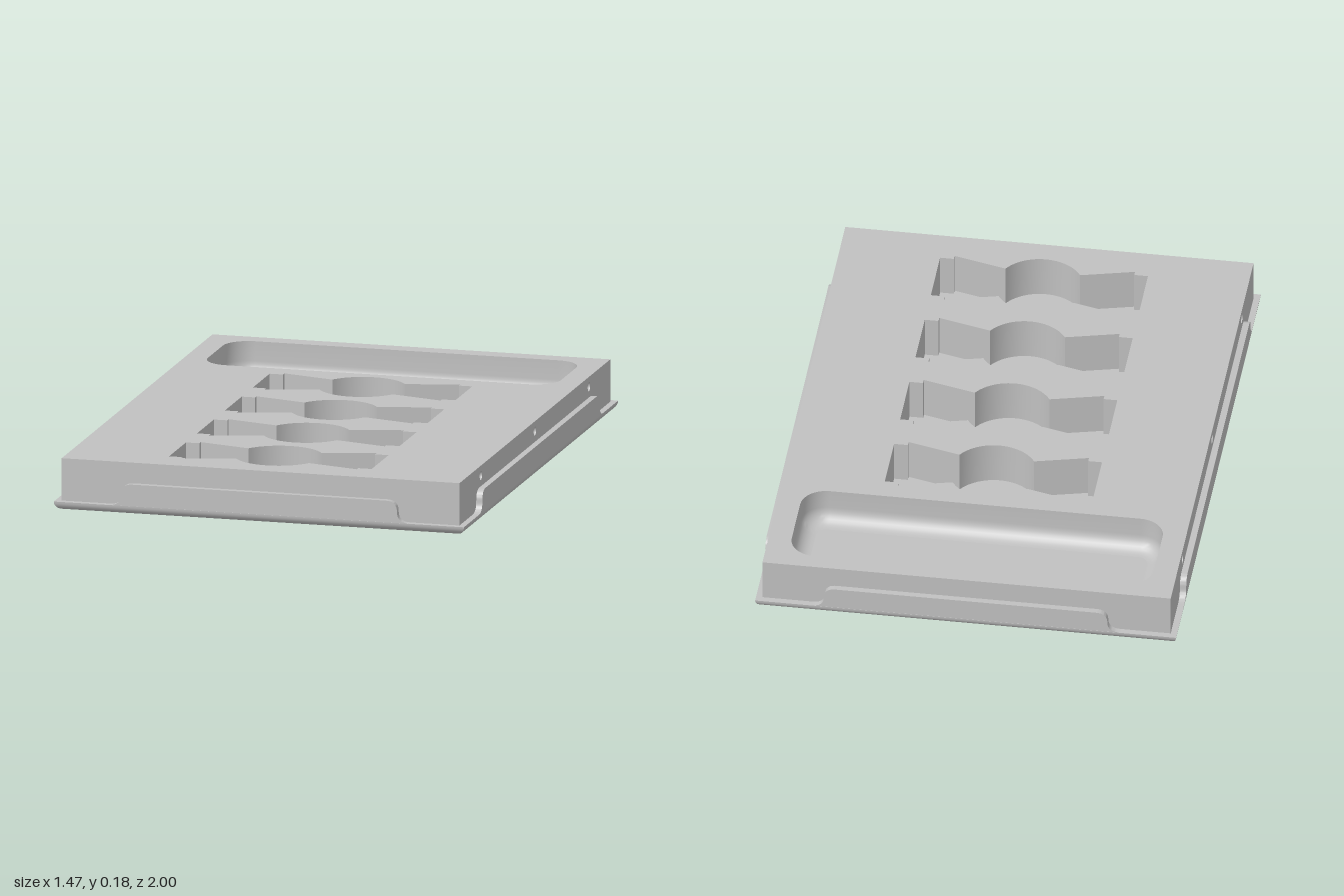
import * as THREE from 'three';
import { toCreasedNormals } from 'three/addons/utils/BufferGeometryUtils.js';

const OUT_X = 0.735, OUT_Z = 1.0;      // tray outline
const IN_X = 0.713, IN_Z = 0.977;      // foam block outline
const LIP = 0.03, TAB = 0.107, TOP = 0.18;

// Plan outlines use (x, -z), anticlockwise seen from above.
const V = (x, y) => new THREE.Vector2(x, y);
const rect = (w, d) => [V(-w, -d), V(w, -d), V(w, d), V(-w, d)];

function roundedRect(cx, cy, w, d, r) {
  const pts = [];
  [[1, 1], [-1, 1], [-1, -1], [1, -1]].forEach(([sx, sy], k) => {
    for (let i = 0; i <= 10; i++) {
      const a = (k + i / 10) * Math.PI / 2;
      pts.push(V(cx + sx * (w - r) + r * Math.cos(a), cy + sy * (d - r) + r * Math.sin(a)));
    }
  });
  return pts;
}

// Circle with two flared wings ending in small notches
function bowTie(cy) {
  const R = 0.153, a0 = Math.asin(0.08 / R), pts = [];
  const wing = [[0.315, -0.127], [0.315, -0.109], [0.363, -0.109],
    [0.363, 0.109], [0.315, 0.109], [0.315, 0.127]];
  for (const s of [1, -1]) {
    wing.forEach(([x, y]) => pts.push(V(s * x, cy + s * y)));
    for (let i = 0; i <= 24; i++) {
      const a = a0 + (Math.PI - 2 * a0) * i / 24;
      pts.push(V(s * R * Math.cos(a), cy + s * R * Math.sin(a)));
    }
  }
  return pts;
}

// Skin between closed outlines; each ring is { pts, y }
function loft(rings, crease = 0.6) {
  const pos = [], index = [], n = rings[0].pts.length;
  rings.forEach(({ pts, y }) => pts.forEach(p => pos.push(p.x, y, -p.y)));
  for (let i = 0; i < rings.length - 1; i++) {
    for (let j = 0; j < n; j++) {
      const a = i * n + j, b = i * n + (j + 1) % n;
      index.push(a, b, b + n, a, b + n, a + n);
    }
  }
  const g = new THREE.BufferGeometry();
  g.setAttribute('position', new THREE.Float32BufferAttribute(pos, 3));
  g.setIndex(index);
  return toCreasedNormals(g, crease);
}

function flat(pts, y, holes = []) {
  const s = new THREE.Shape(pts);
  holes.forEach(h => s.holes.push(new THREE.Path(h)));
  return new THREE.ShapeGeometry(s).rotateX(-Math.PI / 2).translate(0, y, 0);
}

// Raised wall with S-curved ends
function tabShape(half) {
  const s = new THREE.Shape();
  const m = (LIP + TAB) / 2;
  s.moveTo(-half - 0.045, LIP);
  s.lineTo(half + 0.045, LIP);
  s.bezierCurveTo(half + 0.015, LIP, half, LIP + 0.012, half, m);
  s.bezierCurveTo(half, TAB - 0.012, half - 0.015, TAB, half - 0.04, TAB);
  s.lineTo(-half + 0.04, TAB);
  s.bezierCurveTo(-half + 0.015, TAB, -half, TAB - 0.012, -half, m);
  s.bezierCurveTo(-half, LIP + 0.012, -half - 0.015, LIP, -half - 0.045, LIP);
  return s;
}

export function createModel() {
  const model = new THREE.Group();
  const grey = new THREE.MeshStandardMaterial({ color: 0xc0c0c0, side: THREE.DoubleSide });
  grey.name = 'grey';
  const add = (name, geometry, parent = model) => {
    const mesh = new THREE.Mesh(geometry, grey);
    mesh.name = name;
    parent.add(mesh);
    return mesh;
  };

  // Tray base with rounded lower edge and mitred corners
  const edge = [];
  for (let i = 0; i <= 8; i++) {
    const a = i / 8 * Math.PI / 2, inset = LIP * (1 - Math.sin(a));
    edge.push({ pts: rect(OUT_X - inset, OUT_Z - inset), y: LIP * (1 - Math.cos(a)) });
  }
  add('trayEdge', loft(edge));
  add('trayLip', loft([{ pts: rect(OUT_X, OUT_Z), y: LIP }, { pts: rect(IN_X, IN_Z), y: LIP }]));
  add('trayBottom', new THREE.PlaneGeometry(2 * (OUT_X - LIP), 2 * (OUT_Z - LIP)).rotateX(Math.PI / 2));

  // Foam top with its cutouts
  const pocket = inset => roundedRect(0, 0.726, 0.633 - inset, 0.189 - inset, 0.09 - inset);
  const ties = [0, 1, 2, 3].map(i => bowTie(0.344 - 0.3615 * i));
  add('blockTop', flat(rect(IN_X, IN_Z), TOP, [pocket(0), ...ties]));

  // Bow-tie recesses
  ties.forEach(pts => {
    add('recessWall', loft([{ pts, y: TOP }, { pts, y: LIP }], 0.3));
    add('recessFloor', flat(pts, LIP));
  });

  // Large pocket with filleted floor
  const R = 0.055, floor = 0.055, rings = [{ pts: pocket(0), y: TOP }];
  for (let i = 0; i <= 8; i++) {
    const a = i / 8 * Math.PI / 2;
    rings.push({ pts: pocket(R * (1 - Math.cos(a))), y: floor + R * (1 - Math.sin(a)) });
  }
  add('pocketWall', loft(rings));
  add('pocketFloor', flat(pocket(R), floor));

  // Four sides: block face, tray tab, and dimples on the long sides
  for (let k = 0; k < 4; k++) {
    const long = k % 2 === 1;
    const half = long ? IN_Z : IN_X, dist = long ? IN_X : IN_Z;
    const side = new THREE.Group();
    side.name = ['frontSide', 'leftSide', 'backSide', 'rightSide'][k];
    side.rotation.y = k * Math.PI / 2;
    model.add(side);

    const face = new THREE.Shape([V(-half, LIP), V(half, LIP), V(half, TOP), V(-half, TOP)]);
    if (long) {
      for (const u of [-0.7, 0, 0.7]) {
        face.holes.push(new THREE.Path().absarc(u, 0.145, 0.016, 0, Math.PI * 2, true));
        const dome = new THREE.SphereGeometry(0.016, 24, 8, 0, Math.PI * 2, 0, Math.PI / 2);
        add('dimple', dome.rotateX(-Math.PI / 2).translate(u, 0.145, dist), side);
      }
    }
    add('blockFace', new THREE.ShapeGeometry(face).translate(0, 0, dist), side);

    const tab = new THREE.ExtrudeGeometry(tabShape(long ? 0.76 : 0.495),
      { depth: OUT_X - IN_X, bevelEnabled: false, curveSegments: 10 });
    add('trayTab', toCreasedNormals(tab, 0.6).translate(0, 0, dist), side);
  }
  return model;
}
